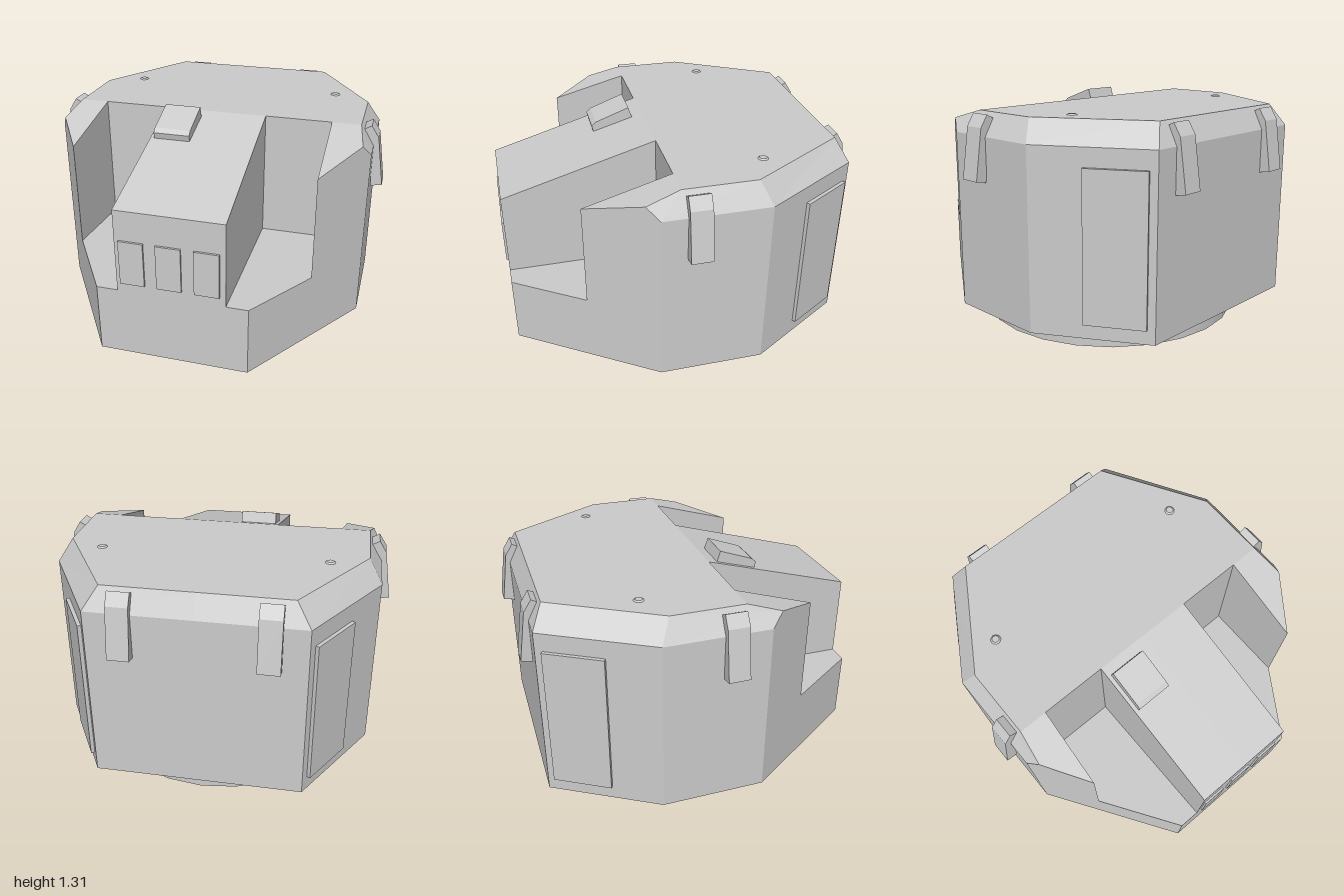
import * as THREE from 'three';

const grey = new THREE.MeshStandardMaterial({ color: 0xcccccc });
const greyThin = new THREE.MeshStandardMaterial({ color: 0xcccccc, side: THREE.DoubleSide });

function add(parent, name, geometry, material = grey) {
  const mesh = new THREE.Mesh(geometry, material);
  mesh.name = name;
  parent.add(mesh);
  return mesh;
}

// Key levels and depths of the hull
const Y0 = 0.13, FLOOR = 0.53, EAVE = 1.14, TOP = 1.265;
const FRONT = 0.985, BACK = -0.935, NOTCH = 0.11, BLOCK = 0.3;
const slopeY = z => TOP - 0.291 * (z - NOTCH);       // sloping front roof
const cornerZ = x => 0.23 + 1.51 * (0.92 - x);       // slanted front wall

// Convex faces of one half of the hull, counter-clockwise for x > 0.
// wb and wf: x of the notch's outer wall at its back and at its front.
function halfHull(wb, wf) {
  const zf = cornerZ(wf), yf = slopeY(zf), yn = slopeY(FRONT);
  const plan = [[0, FRONT], [0.42, FRONT], [0.92, 0.23], [0.92, -0.36], [0.58, BACK], [0, BACK]];
  const shoulder = [0.875, slopeY(0.298), 0.298];
  const faces = [
    // roof, cheek roof, block roof, notch floor
    [[0, TOP, NOTCH], [0.845, TOP, NOTCH], [0.845, TOP, -0.3], [0.5, TOP, -0.87], [0, TOP, -0.87]],
    [[wf, yf, zf], shoulder, [0.845, TOP, NOTCH], [wb, TOP, NOTCH]],
    [[0, yn, FRONT], [BLOCK, yn, FRONT], [BLOCK, TOP, NOTCH], [0, TOP, NOTCH]],
    [[BLOCK, FLOOR, FRONT], [0.42, FLOOR, FRONT], [wf, FLOOR, zf], [wb, FLOOR, NOTCH], [BLOCK, FLOOR, NOTCH]],
    // bevels around the roof
    [[0.92, EAVE, 0.23], [0.92, EAVE, -0.36], [0.845, TOP, -0.3], [0.845, TOP, NOTCH], shoulder],
    [[0.92, EAVE, -0.36], [0.58, EAVE, BACK], [0.5, TOP, -0.87], [0.845, TOP, -0.3]],
    [[0.58, EAVE, BACK], [0, EAVE, BACK], [0, TOP, -0.87], [0.5, TOP, -0.87]],
    // cheek front, block front and side, notch back and outer wall
    [[wf, FLOOR, zf], [0.92, FLOOR, 0.23], [0.92, EAVE, 0.23], shoulder, [wf, yf, zf]],
    [[0, FLOOR, FRONT], [BLOCK, FLOOR, FRONT], [BLOCK, yn, FRONT], [0, yn, FRONT]],
    [[BLOCK, FLOOR, FRONT], [BLOCK, FLOOR, NOTCH], [BLOCK, TOP, NOTCH], [BLOCK, yn, FRONT]],
    [[BLOCK, FLOOR, NOTCH], [wb, FLOOR, NOTCH], [wb, TOP, NOTCH], [BLOCK, TOP, NOTCH]],
    [[wb, FLOOR, NOTCH], [wf, FLOOR, zf], [wf, yf, zf], [wb, TOP, NOTCH]],
    // underside
    plan.map(([x, z]) => [x, Y0, z]).reverse(),
  ];
  // outer walls: low at the front, up to the eaves elsewhere
  for (let i = 0; i < 5; i++) {
    const [ax, az] = plan[i], [bx, bz] = plan[i + 1], h = i < 2 ? FLOOR : EAVE;
    faces.push([[ax, Y0, az], [bx, Y0, bz], [bx, h, bz], [ax, h, az]]);
  }
  return faces;
}

function hullGeometry() {
  const pos = [];
  for (const [side, wb, wf] of [[1, 0.68, 0.68], [-1, 0.68, 0.71]]) {
    for (const face of halfHull(wb, wf)) {
      const f = face.map(([x, y, z]) => [side * x, y, z]);
      if (side < 0) f.reverse();
      for (let i = 1; i < f.length - 1; i++) pos.push(...f[0], ...f[i], ...f[i + 1]);
    }
  }
  const g = new THREE.BufferGeometry();
  g.setAttribute('position', new THREE.Float32BufferAttribute(pos, 3));
  g.computeVertexNormals();
  return g;
}

// Profile extruded across a centred width
function slab(points, width) {
  const shape = new THREE.Shape(points.map(p => new THREE.Vector2(...p)));
  return new THREE.ExtrudeGeometry(shape, { depth: width, bevelEnabled: false }).translate(0, 0, -width / 2);
}

export function createModel() {
  const model = new THREE.Group();
  model.name = 'turret';

  add(model, 'hull', hullGeometry());

  // Open ring under the hull
  add(model, 'baseRing', new THREE.CylinderGeometry(0.772, 0.772, Y0, 24, 1, true), greyThin)
    .position.set(0, Y0 / 2, -0.0625);

  // Bent lifting hooks on the sides and the back
  const hook = slab([[0.855, 1.232], [0.9, 1.165], [0.925, 0.893], [0.988, 0.905], [0.945, 1.19], [0.902, 1.257]], 0.12);
  for (const s of [1, -1]) {
    const sideHook = add(model, 'sideHook', hook);
    sideHook.position.z = 0.03;
    if (s < 0) sideHook.rotation.y = Math.PI;
    const backHook = add(model, 'backHook', hook);
    backHook.rotation.y = Math.PI / 2;
    backHook.position.set(s * 0.385, 0, -0.01);

    // Plates on the slanted rear walls
    const plate = add(model, 'rearPlate', new THREE.BoxGeometry(0.03, 0.825, 0.335));
    plate.position.set(s * 0.692, 0.625, -0.757);
    plate.rotation.y = s * Math.atan2(0.34, 0.575);

    // Small studs on the roof
    add(model, 'roofStud', new THREE.CylinderGeometry(0.02, 0.03, 0.008, 12))
      .position.set(s * 0.635, TOP + 0.003, -0.395);
  }

  // Three plates on the front of the block
  for (const x of [-0.208, -0.005, 0.2]) {
    add(model, 'frontPlate', new THREE.BoxGeometry(0.136, 0.255, 0.02)).position.set(x, 0.71, FRONT + 0.002);
  }

  // Sight lying on the sloping roof, profile in (z, y)
  const sight = add(model, 'sight',
    slab([[0.165, 1.24], [0.4, 1.17], [0.41, 1.215], [0.385, 1.238], [0.188, 1.31]], 0.208));
  sight.rotation.y = -Math.PI / 2;
  sight.position.x = -0.173;

  return model;
}
